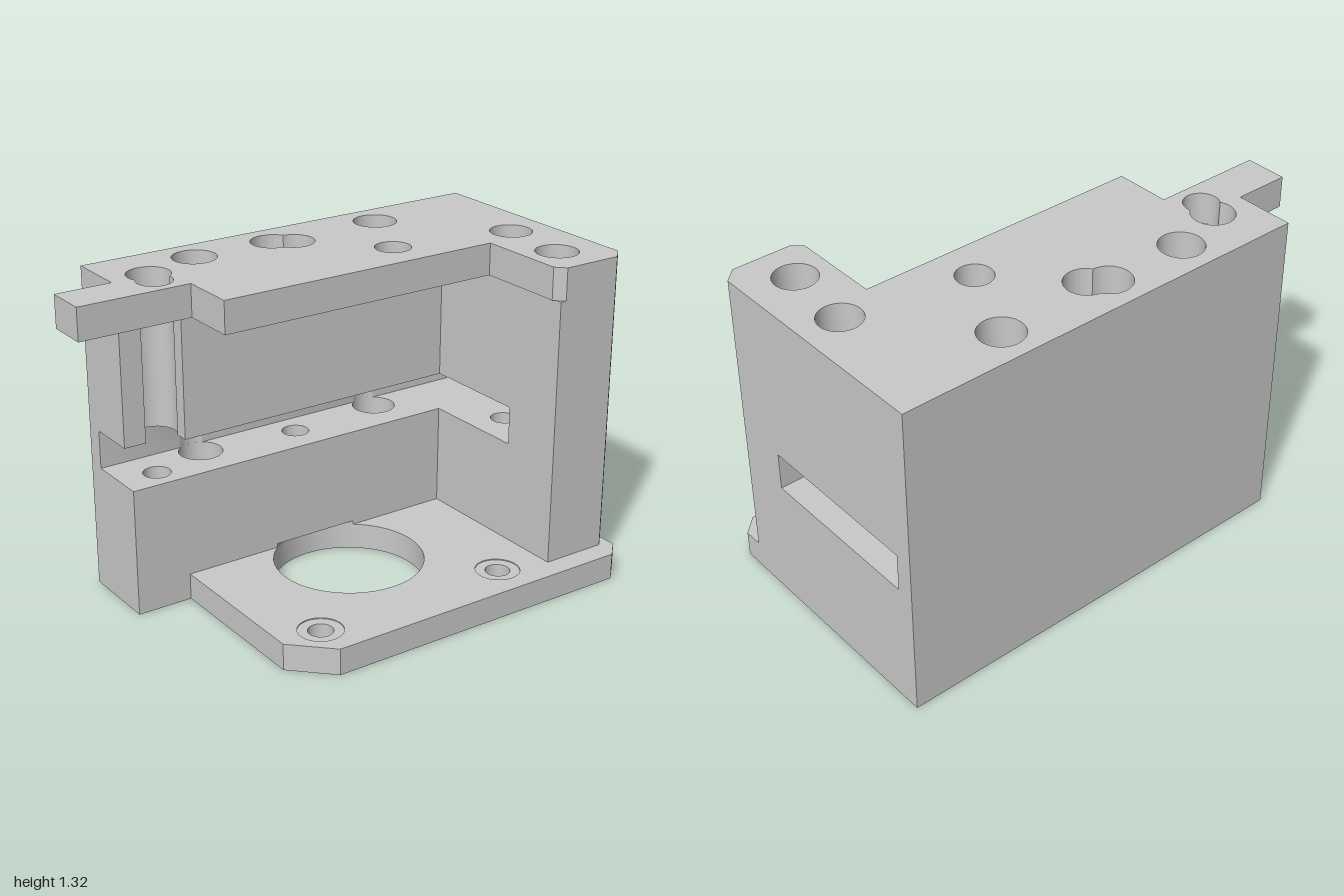
import * as THREE from 'three';
import { toCreasedNormals } from 'three/addons/utils/BufferGeometryUtils.js';

// Points along an arc in the (x, z) plan
function arc(cx, cz, r, a0, a1, n = 40) {
  return Array.from({ length: n + 1 }, (_, i) => {
    const a = a0 + (a1 - a0) * i / n;
    return [cx + r * Math.cos(a), cz + r * Math.sin(a)];
  });
}
const circle = ([x, z, r]) => arc(x, z, r, 0, Math.PI * 2, 48).slice(0, -1);

// Outline of two overlapping round holes
function pair([x1, z1, r1], [x2, z2, r2]) {
  const d = Math.hypot(x2 - x1, z2 - z1), t = Math.atan2(z2 - z1, x2 - x1);
  const a = Math.acos((d * d + r1 * r1 - r2 * r2) / (2 * d * r1));
  const b = Math.PI - Math.acos((d * d + r2 * r2 - r1 * r1) / (2 * d * r2));
  return [
    ...arc(x1, z1, r1, t + a, t + 2 * Math.PI - a).slice(0, -1),
    ...arc(x2, z2, r2, t - b, t + b).slice(0, -1),
  ];
}

export function createModel() {
  const group = new THREE.Group();
  const grey = new THREE.MeshStandardMaterial({ color: 0xc9c9c9 });
  grey.name = 'grey';
  const toVec = (pts) => pts.map(([x, z]) => new THREE.Vector2(x, -z));

  // One horizontal slab of the block, from y0 to y1, with vertical holes
  // (holes wind opposite to the outline so their walls face inwards)
  function slab(name, y0, y1, outline, holes = []) {
    const shape = new THREE.Shape(toVec(outline));
    for (const h of holes) shape.holes.push(new THREE.Path(toVec(h).reverse()));
    let geo = new THREE.ExtrudeGeometry(shape, { depth: y1 - y0, bevelEnabled: false });
    geo.rotateX(-Math.PI / 2);
    geo = toCreasedNormals(geo, 0.5);
    const mesh = new THREE.Mesh(geo, grey);
    mesh.name = name;
    mesh.position.y = y0;
    group.add(mesh);
  }

  const back = -0.573, face = -0.24;
  // Bores as [x, z, radius]
  const motor = [0.053, -0.005, 0.3];
  const screwBores = [[-0.367, -0.427, 0.088], [0.473, -0.427, 0.088]];
  const frontBores = screwBores.map(([x, , r]) => [x, 0.413, r]);
  const rodLeft = [-0.61, -0.345, 0.085], rodMid = [0.053, -0.385, 0.085];
  const rodTower = [0.833, -0.007, 0.085], blindTower = [0.805, 0.299, 0.085];
  const blindMid = [-0.016, -0.427, 0.088];
  const resize = (r) => ([x, z]) => [x, z, r];
  const backEdge = [[-0.77, back], [1, back]];
  const towerFront = [[1, 0.428], [0.948, 0.48], [0.675, 0.48]];

  // Base flange with the motor opening, four screw holes and shallow screw seats
  const flange = [
    ...backEdge, [1, 0.507], [0.933, 0.573], [-0.39, 0.573], [-0.54, 0.425], [-0.54, face], [-0.77, face],
  ];
  const screws = [...screwBores, ...frontBores];
  slab('baseFlange', 0, 0.104, flange, [motor, ...screws.map(resize(0.049))].map(circle));
  slab('baseFlangeTop', 0.104, 0.108, flange, [motor, ...screws].map(circle));

  // Lower block and tower; the motor opening cuts slightly into its foot
  const lowerHoles = [...screwBores, ...[rodLeft, rodMid, rodTower].map(resize(0.055))].map(circle);
  const cut = Math.asin((motor[1] - face) / motor[2]);
  slab('lowerBlockFoot', 0.108, 0.124, [
    ...backEdge, ...towerFront, [0.675, face],
    ...arc(...motor, -cut, -Math.PI + cut), [-0.77, face],
  ], lowerHoles);
  slab('lowerBlock', 0.124, 0.524,
    [...backEdge, ...towerFront, [0.675, face], [-0.77, face]], lowerHoles);

  // Slot level: only the back wall and the front of the tower remain
  const slotBack = -0.5;
  const nick = Math.asin(0.073 / 0.088);
  slab('slotBackWall', 0.524, 0.68, [
    ...backEdge, [1, slotBack],
    ...arc(...screwBores[1], -nick, -Math.PI + nick, 16),
    ...arc(...screwBores[0], -nick, -Math.PI + nick, 16),
    [-0.77, slotBack],
  ]);
  slab('slotTowerWall', 0.524, 0.68, [[0.675, 0.211], [1, 0.211], ...towerFront]);

  // Upper block, with the left rod bore open to the front
  const open = Math.asin(0.05 / 0.085);
  const upper = [
    ...backEdge, ...towerFront, [0.675, face], [-0.54, face],
    ...arc(...rodLeft, open, -Math.PI - open),
    [-0.77, -0.295],
  ];
  slab('upperBlockFloor', 0.68, 0.76, upper, [...screwBores, rodMid, rodTower].map(circle));
  slab('upperBlock', 0.76, 1.193, upper,
    [...[...screwBores, rodTower, blindTower].map(circle), pair(blindMid, rodMid)]);

  // Top plate with the side tab
  slab('topPlate', 1.193, 1.323, [
    ...backEdge, [1, 0.428], [0.948, 0.48], [0.7, 0.48], [0.663, 0.443], [0.663, 0.073],
    [-0.54, 0.073], [-0.54, -0.157], [-1, -0.157], [-1, -0.33], [-0.77, -0.33],
  ], [
    ...[...screwBores, rodTower, blindTower, [0.323, -0.1, 0.072]].map(circle),
    pair(blindMid, rodMid), pair(rodLeft, [-0.63, -0.265, 0.07]),
  ]);

  return group;
}
